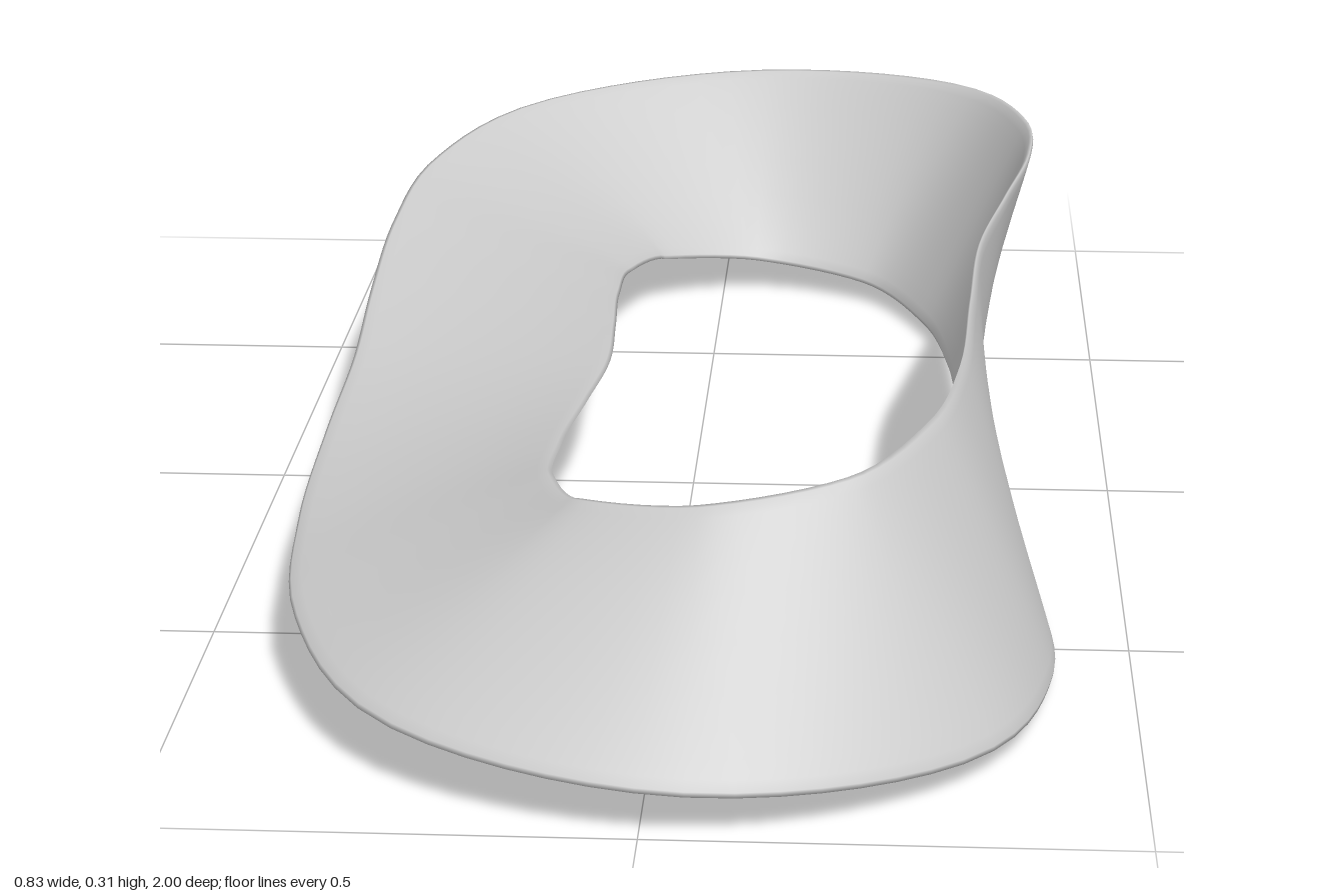
import * as THREE from 'three';

const HALF_WIDTH = 0.155, HALF_THICKNESS = 0.005, MID_Y = 0.155;
const STEPS = 128, SIDES = 24;

// Centre line seen from above, [x, z] from the right side round to the left side;
// the other half mirrors it in z.
const halfPath = [
  [0.34, 0], [0.351, 0.22], [0.361, 0.44], [0.343, 0.62], [0.26, 0.8],
  [0.05, 0.89], [-0.165, 0.805], [-0.251, 0.62], [-0.267, 0.42], [-0.262, 0.2], [-0.255, 0],
];

function centreLine() {
  const rear = halfPath.map(([x, z]) => new THREE.Vector3(x, MID_Y, -z));
  const front = halfPath.slice(1, -1).reverse().map(([x, z]) => new THREE.Vector3(x, MID_Y, z));
  const curve = new THREE.CatmullRomCurve3([...rear, ...front], true, 'centripetal');
  curve.arcLengthDivisions = 800;
  return curve;
}

// Thin slab with rounded rims, half a turn symmetric so the loop can close on itself
const soften = (v, power) => Math.sign(v) * Math.abs(v) ** power;
function profilePoint(k) {
  const a = (k / SIDES) * Math.PI * 2;
  return [HALF_WIDTH * soften(Math.cos(a), 0.8), HALF_THICKNESS * soften(Math.sin(a), 0.35)];
}

// Sweep the profile round the loop while it makes half a turn
function twistedBand() {
  const curve = centreLine();
  const positions = [], indices = [];
  for (let i = 0; i < STEPS; i++) {
    const p = curve.getPointAt(i / STEPS);
    const t = curve.getTangentAt(i / STEPS);
    const out = new THREE.Vector3(-t.z, 0, t.x).normalize();
    const turn = (i / STEPS) * Math.PI;
    const c = Math.cos(turn), s = Math.sin(turn);
    for (let k = 0; k < SIDES; k++) {
      const [w, h] = profilePoint(k);
      const side = w * s + h * c;
      positions.push(p.x + out.x * side, p.y + w * c - h * s, p.z + out.z * side);
    }
  }
  // The last ring joins the first one shifted by half a turn
  const id = (i, k) => (i < STEPS
    ? i * SIDES + (k % SIDES)
    : (k + SIDES / 2) % SIDES);
  for (let i = 0; i < STEPS; i++) {
    for (let k = 0; k < SIDES; k++) {
      const a = id(i, k), b = id(i, k + 1), c = id(i + 1, k), d = id(i + 1, k + 1);
      indices.push(a, b, c, b, d, c);
    }
  }
  const geometry = new THREE.BufferGeometry();
  geometry.setAttribute('position', new THREE.Float32BufferAttribute(positions, 3));
  geometry.setIndex(indices);
  geometry.computeVertexNormals();
  return geometry;
}

export function createModel() {
  const group = new THREE.Group();
  group.name = 'twistedLoop';
  const material = new THREE.MeshStandardMaterial({ color: 0xcccccc, side: THREE.DoubleSide });
  const band = new THREE.Mesh(twistedBand(), material);
  band.name = 'twistedBand';
  group.add(band);
  return group;
}
